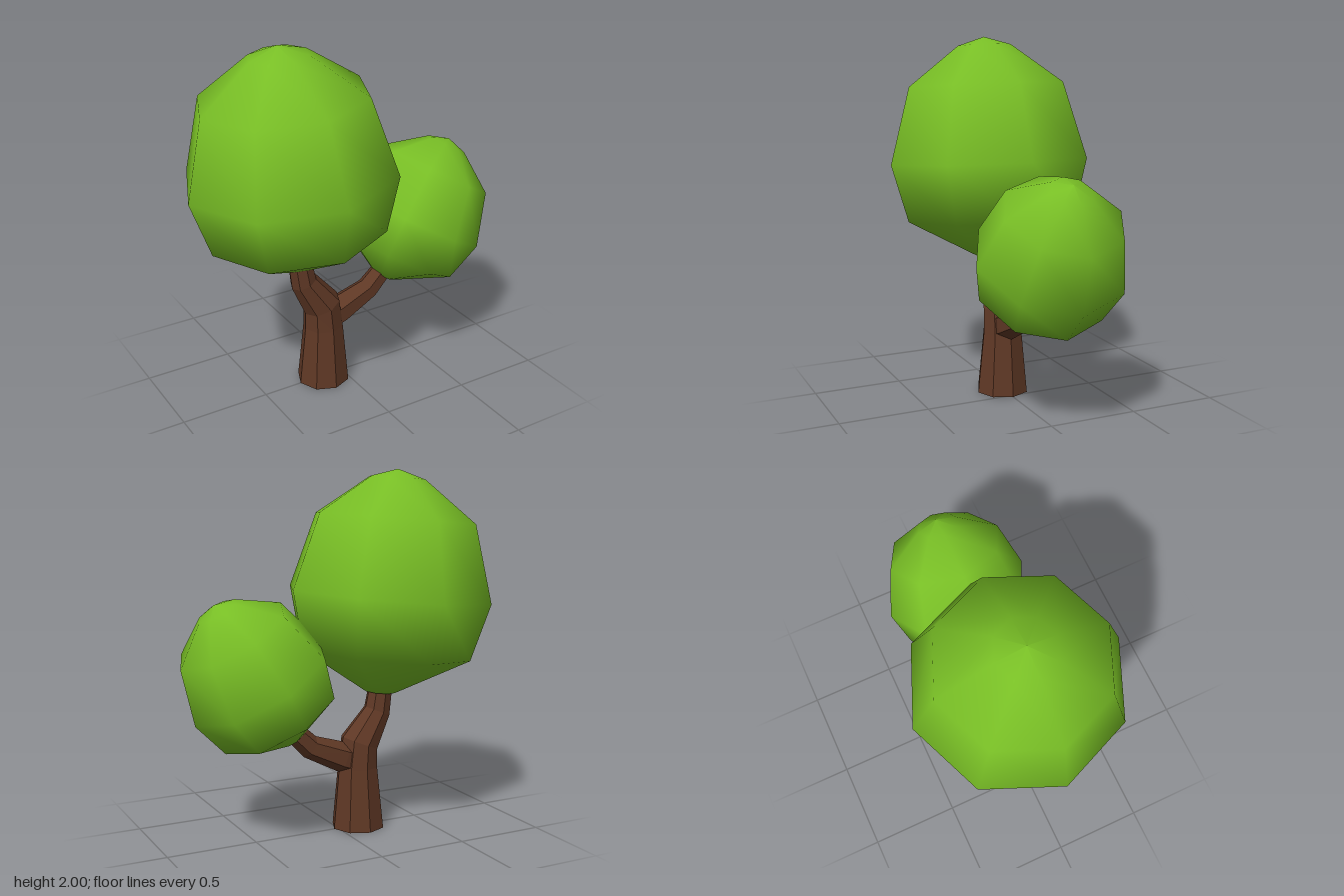
import * as THREE from 'three';

// Faceted limb lofted along [x, y, radius] stations lying in the z = 0 plane
function limb(stations, sides) {
  const pos = [], rings = [];
  stations.forEach(([x, y, r], i) => {
    const a = stations[Math.max(i - 1, 0)];
    const b = stations[Math.min(i + 1, stations.length - 1)];
    const t = new THREE.Vector2(b[0] - a[0], b[1] - a[1]).normalize();
    if (i === 0 && Math.abs(y) < 1e-6) t.set(0, 1); // level foot on the ground
    const ring = [];
    for (let k = 0; k < sides; k++) {
      const ang = (k / sides) * Math.PI * 2;
      const u = Math.cos(ang) * r;
      ring.push([x + t.y * u, y - t.x * u, Math.sin(ang) * r]);
    }
    rings.push(ring);
  });
  const tri = (a, b, c) => pos.push(...a, ...b, ...c);
  for (let i = 0; i < rings.length - 1; i++) {
    for (let k = 0; k < sides; k++) {
      const n = (k + 1) % sides;
      const a = rings[i][k], b = rings[i][n], c = rings[i + 1][n], d = rings[i + 1][k];
      tri(a, d, c);
      tri(a, c, b);
    }
  }
  // End caps
  const first = rings[0], last = rings[rings.length - 1];
  for (let k = 1; k < sides - 1; k++) {
    tri(first[0], first[k], first[k + 1]);
    tri(last[0], last[k + 1], last[k]);
  }
  const g = new THREE.BufferGeometry();
  g.setAttribute('position', new THREE.Float32BufferAttribute(pos, 3));
  g.computeVertexNormals(); // unshared corners give flat facets
  return g;
}

export function createModel() {
  const tree = new THREE.Group();
  tree.name = 'tree';
  const leaf = new THREE.MeshStandardMaterial({ color: 0x78be25 });
  leaf.name = 'leaf green';
  const bark = new THREE.MeshStandardMaterial({ color: 0x5f3825 });
  bark.name = 'bark brown';

  const add = (name, geometry, material) => {
    const mesh = new THREE.Mesh(geometry, material);
    mesh.name = name;
    tree.add(mesh);
    return mesh;
  };

  // Trunk bends left into the big crown, branch reaches right into the small one
  add('trunk', limb([
    [-0.125, 0, 0.15], [-0.122, 0.35, 0.115], [-0.133, 0.485, 0.11],
    [-0.245, 0.655, 0.077], [-0.268, 0.8, 0.068],
  ], 8), bark);
  add('branch', limb([
    [-0.09, 0.39, 0.085], [-0.02, 0.415, 0.085],
    [0.175, 0.495, 0.066], [0.33, 0.645, 0.055],
  ], 6), bark);

  // Both crowns share one eight-sided, smooth-shaded egg profile
  const profile = [
    [0, -0.555], [0.087, -0.548], [0.495, -0.32], [0.582, 0],
    [0.458, 0.422], [0.16, 0.642], [0, 0.692],
  ].map(([r, y]) => new THREE.Vector2(r, y));
  const crownGeometry = new THREE.LatheGeometry(profile, 8);

  const large = add('largeCrown', crownGeometry, leaf);
  large.position.set(-0.31, 1.31, 0);
  large.rotation.z = 0.086;

  const small = add('smallCrown', crownGeometry, leaf);
  small.position.set(0.475, 0.882, 0);
  small.rotation.z = -0.52;
  small.scale.setScalar(0.705);

  return tree;
}
